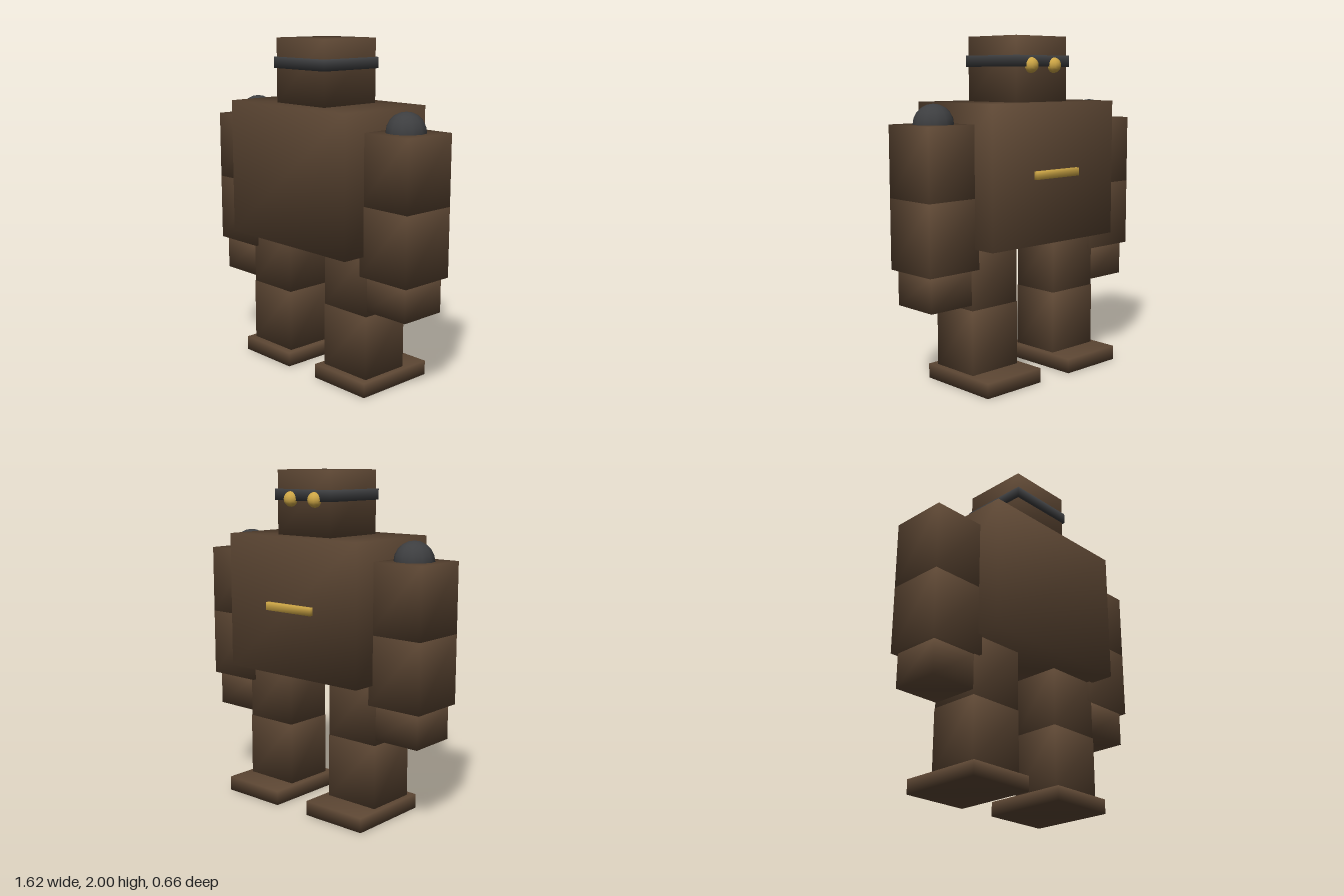
import * as THREE from 'three';
import { mergeVertices } from 'three/addons/utils/BufferGeometryUtils.js';

const brown = new THREE.MeshStandardMaterial({ name: 'brownClay', color: 0x5c4633 });
const charcoal = new THREE.MeshStandardMaterial({ name: 'charcoal', color: 0x3d3e40 });
const gold = new THREE.MeshStandardMaterial({ name: 'gold', color: 0xcca545 });

const MID = 0.007; // depth of the body's centre line

// Box with shared corners, so its shading runs softly round the edges
function softBox(name, material, width, depth, y0, y1, x = 0, z = MID) {
  let geometry = new THREE.BoxGeometry(width, y1 - y0, depth);
  geometry.deleteAttribute('normal');
  geometry.deleteAttribute('uv');
  geometry = mergeVertices(geometry);
  geometry.computeVertexNormals();
  const mesh = new THREE.Mesh(geometry, material);
  mesh.name = name;
  mesh.position.set(x, (y0 + y1) / 2, z);
  return mesh;
}

function ball(name, material, radius, x, y, z) {
  const mesh = new THREE.Mesh(new THREE.SphereGeometry(radius, 12, 10), material);
  mesh.name = name;
  mesh.position.set(x, y, z);
  return mesh;
}

export function createModel() {
  const model = new THREE.Group();
  model.name = 'blockRobot';

  // Torso, head and headband
  model.add(
    softBox('torso', brown, 0.98, 0.637, 0.816, 1.624),
    softBox('head', brown, 0.406, 0.406, 1.62, 2),
    softBox('headband', charcoal, 0.428, 0.43, 1.825, 1.89),
    softBox('chestBar', gold, 0.344, 0.046, 1.195, 1.242, 0, -0.312)
  );

  for (const side of [-1, 1]) {
    const prefix = side > 0 ? 'left' : 'right';

    // Arm
    const arm = new THREE.Group();
    arm.name = prefix + 'Arm';
    const ax = side * 0.636;
    arm.add(
      ball('shoulder', charcoal, 0.115, ax, 1.509, MID),
      softBox('upperArm', brown, 0.35, 0.347, 1.102, 1.51, ax),
      softBox('forearm', brown, 0.35, 0.347, 0.698, 1.102, ax),
      softBox('hand', brown, 0.294, 0.294, 0.494, 0.698, ax)
    );

    // Leg
    const leg = new THREE.Group();
    leg.name = prefix + 'Leg';
    const lx = side * 0.325;
    leg.add(
      softBox('thigh', brown, 0.34, 0.308, 0.462, 0.84, lx),
      softBox('shin', brown, 0.347, 0.312, 0.08, 0.462, lx),
      softBox('foot', brown, 0.412, 0.52, 0, 0.086, lx, -0.052)
    );

    // Eye
    model.add(arm, leg, ball(prefix + 'Eye', gold, 0.045, side * 0.092, 1.834, -0.201));
  }
  return model;
}
